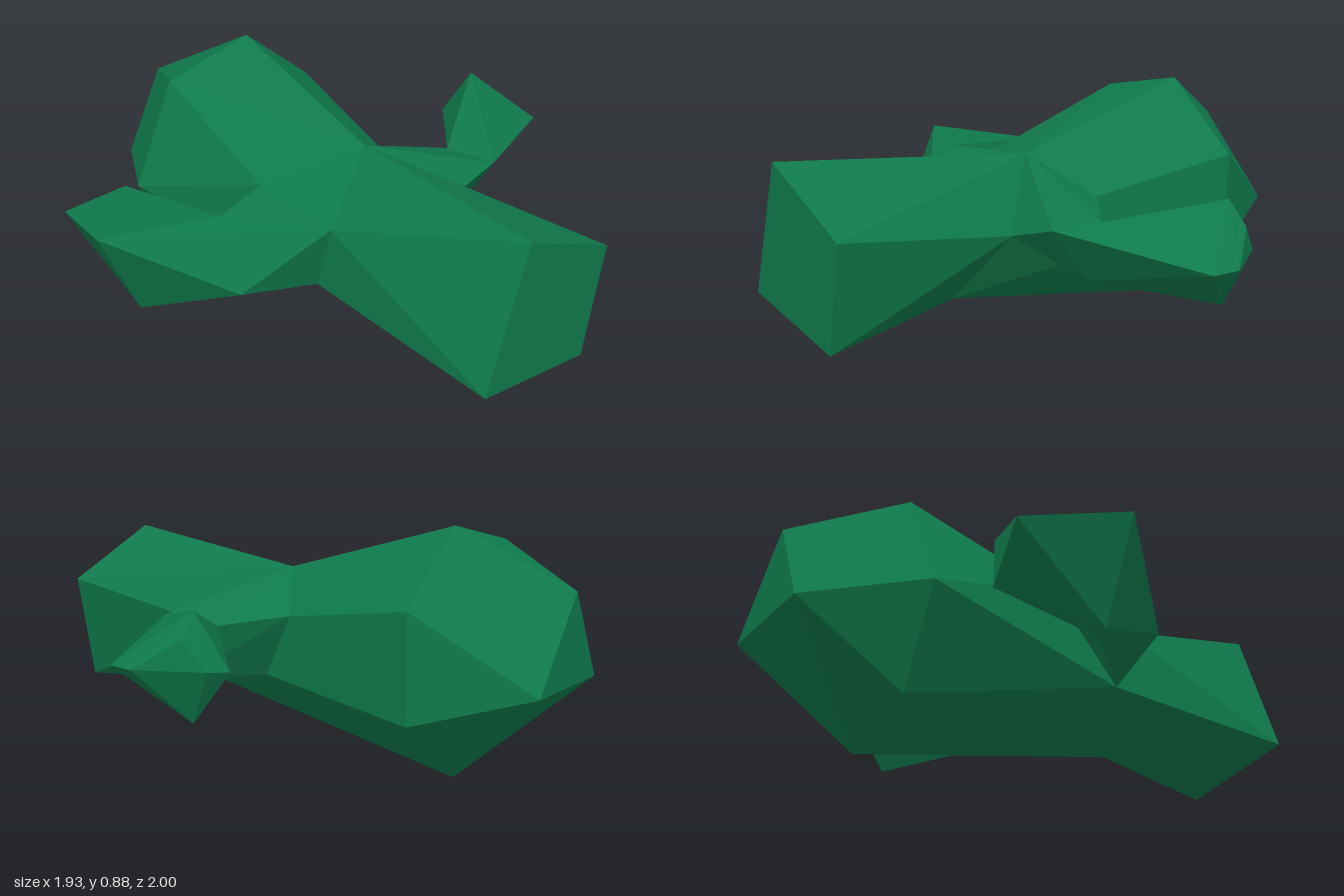
import * as THREE from 'three';
import { ConvexGeometry } from 'three/addons/geometries/ConvexGeometry.js';

// Faceted cactus lying on its back-to-front axis: each part is a convex faceted solid.
export function createModel() {
  const group = new THREE.Group();
  group.name = 'cactus';
  const cactusGreen = new THREE.MeshStandardMaterial({ color: 0x0f7a4c });
  cactusGreen.name = 'cactusGreen';

  const ring = (z, pts) => pts.map(([x, y]) => [x, y, z]);
  const addPart = (name, ...rings) => {
    const pts = rings.flat().map((p) => new THREE.Vector3(...p));
    const mesh = new THREE.Mesh(new ConvexGeometry(pts), cactusGreen);
    mesh.name = name;
    group.add(mesh);
  };

  // Junction corners shared by trunk, crown and arms
  const top = [0, 0.68, 0.09];
  const bottom = [0, 0.2, 0.42];
  const leftFront = [0.2, 0.46, 0.31];
  const leftLow = [0.2, 0.31, 0.06];
  const leftBack = [0.22, 0.54, -0.06];
  const rightFront = [-0.34, 0.55, 0.28];
  const rightLow = [-0.35, 0.31, 0.22];
  const rightBack = [-0.37, 0.6, -0.05];

  // Trunk with its cut base
  const base = ring(1, [[-0.18, 0.76], [0.22, 0.58], [0.14, 0.18], [-0.35, 0.26]]);
  addPart('trunk', base, [top, bottom, leftFront, rightFront, rightLow]);
  addPart('junction', [top, bottom, leftFront, leftLow, leftBack, rightFront, rightLow, rightBack]);

  // Crown: seven-sided widest ring closing to a triangular end
  const widest = ring(-0.615, [
    [0.04, 0.88], [0.34, 0.63], [0.34, 0.25], [0.02, 0], [-0.33, 0.09], [-0.51, 0.42], [-0.33, 0.8],
  ]);
  const crownEnd = [[-0.13, 0.67, -0.985], [0.16, 0.36, -1], [-0.29, 0.355, -0.99]];
  addPart('crown', [top, bottom, leftLow, leftBack, rightLow, rightBack], widest, crownEnd);

  // Left arm
  const leftElbow = [[0.44, 0.54, 0.325], [0.46, 0.345, 0.19], [0.43, 0.52, 0.1]];
  const leftTip = [
    [0.8, 0.65, -0.12], [0.87, 0.57, -0.13], [0.965, 0.475, 0], [0.95, 0.475, 0.1],
    [0.8, 0.285, -0.11], [0.84, 0.47, -0.2], [0.76, 0.46, -0.23],
  ];
  addPart('leftArmRoot', [top, leftFront, leftLow, leftBack], leftElbow);
  addPart('leftArm', leftElbow, leftTip);

  // Right arm, with a pointed outer elbow
  const rightElbow = [[-0.59, 0.585, 0], [-0.65, 0.38, 0.175], [-0.55, 0.36, 0]];
  const rightOuter = [[-0.97, 0.575, -0.17], [-0.82, 0.23, -0.18]];
  const rightTip = [[-0.87, 0.485, -0.54], [-0.69, 0.335, -0.51], [-0.65, 0.53, -0.48]];
  addPart('rightArmRoot', [rightFront, rightLow, rightBack], rightElbow);
  addPart('rightElbow', [rightFront, rightOuter[0]], rightElbow.slice(0, 2));
  addPart('rightArm', rightElbow, rightOuter, rightTip);

  return group;
}
